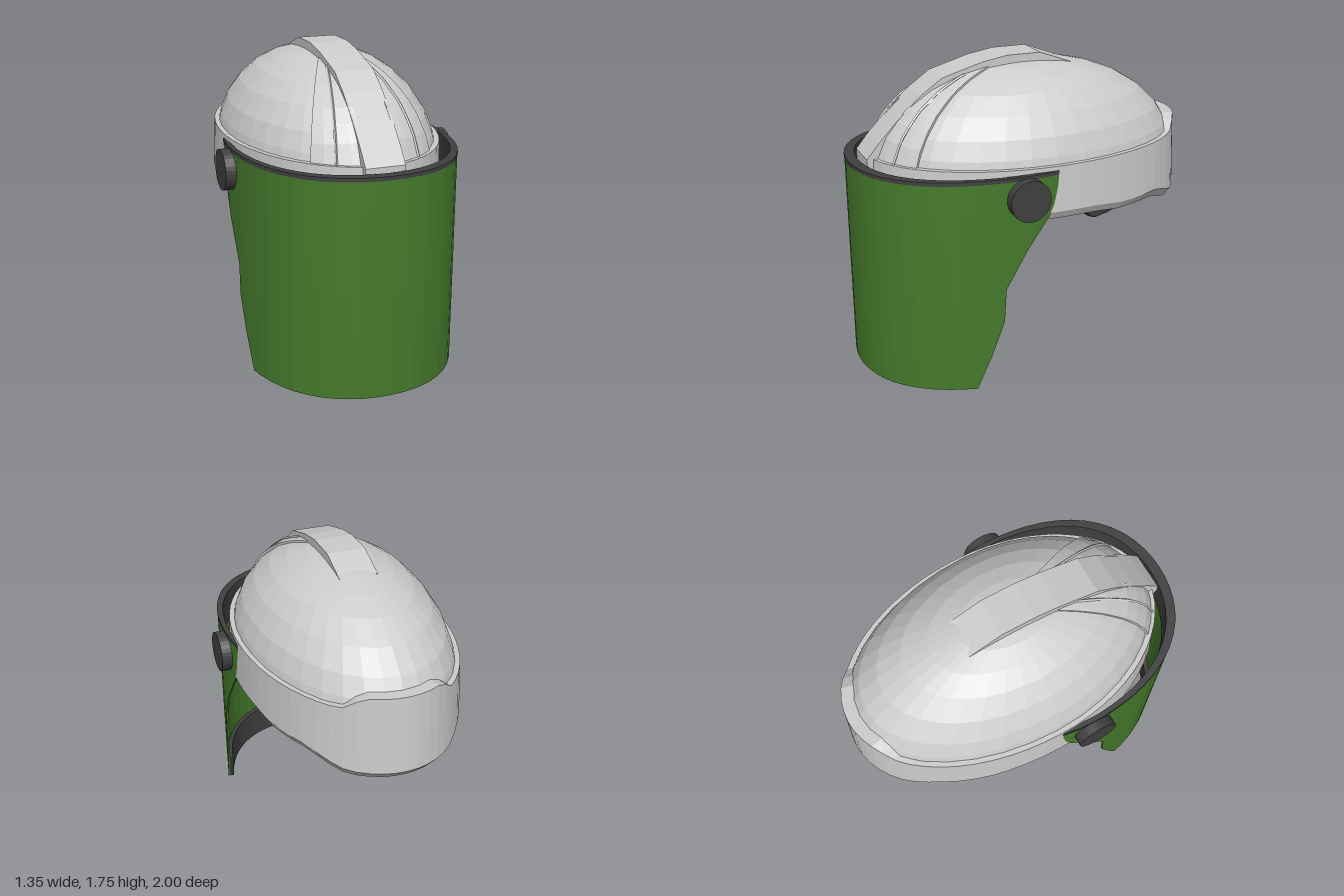
import * as THREE from 'three';

const material = (color) => new THREE.MeshStandardMaterial({ color, flatShading: true, side: THREE.DoubleSide });
const grey = material(0xcccccc), dark = material(0x404040), green = material(0x457a2c);

// Linear interpolation in a table of [key, value] rows with rising keys
function lookup(table, k) {
  for (let i = 1; i < table.length; i++) {
    const [k0, v0] = table[i - 1], [k1, v1] = table[i];
    if (k <= k1) return v0 + (v1 - v0) * Math.max(0, (k - k0) / (k1 - k0));
  }
  return table[table.length - 1][1];
}

// Skin a list of cross-section loops (outer points going down, then inner points going up)
function loft(sections, closed) {
  const n = sections[0].length, m = sections.length, index = [];
  const quad = (a, b, c, d) => index.push(a, b, c, a, c, d);
  for (let s = 0; s < (closed ? m : m - 1); s++) {
    const p = s * n, q = ((s + 1) % m) * n;
    for (let i = 0; i < n; i++) {
      const j = (i + 1) % n;
      quad(p + i, p + j, q + j, q + i);
    }
  }
  if (!closed) {
    const e = (m - 1) * n;
    for (let i = 0; i < n / 2 - 1; i++) {
      quad(n - 1 - i, n - 2 - i, i + 1, i);
      quad(e + i, e + i + 1, e + n - 2 - i, e + n - 1 - i);
    }
  }
  const g = new THREE.BufferGeometry();
  g.setAttribute('position', new THREE.Float32BufferAttribute(sections.flat(2), 3));
  g.setIndex(index);
  g.computeVertexNormals();
  return g;
}

const range = (n, f) => Array.from({ length: n }, (_, i) => f(i));
const turn = (n, f) => loft(range(n, (i) => f((i / n) * Math.PI * 2)), true);

// Dome surface: profile of [relative radius, height] on an oval plan
const domeProfile = [[0, 1.715], [0.14, 1.71], [0.3, 1.69], [0.47, 1.65], [0.63, 1.59],
  [0.78, 1.5], [0.9, 1.39], [0.965, 1.29], [1, 1.2]];
const domePoint = (a, r, grow = 0, lift = 0) => {
  const depth = Math.cos(a) > 0 ? 0.88 : 0.97;
  return [Math.sin(a) * r * (0.585 + grow), lookup(domeProfile, r) + lift, Math.cos(a) * r * (depth + grow)];
};
const toPolar = (x, z) => [Math.atan2(x / 0.585, z / 0.88), Math.min(1, Math.hypot(x / 0.585, z / 0.88))];

// Visor plan and its rear edge: upright columns, cut off where the edge passes
const edge = [[0, 0.48], [0.2, 0.4], [0.4, 0.33], [0.59, 0.32], [0.8, 0.2], [1.04, 0.02], [1.22, 0.01]];
function visorStrip(heights, rearEdge, outer, inner) {
  const ys = [...heights].reverse(), N = 32;
  const limit = (y) => Math.acos((rearEdge(y) - 0.2) / 0.8);
  const widest = Math.max(...heights.map(limit));
  return loft(range(N + 1, (i) => {
    const column = ((i / N) * 2 - 1) * widest;
    const point = (y, s) => {
      const a = THREE.MathUtils.clamp(column, -limit(y), limit(y));
      const k = s(a) * (Math.cos(a) > 0 ? 1 + 0.035 * Math.sin(2 * a) ** 2 : 1);
      return [0.622 * k * Math.sin(a), y, 0.2 + 0.8 * k * Math.cos(a)];
    };
    return [...ys.map((y) => point(y, outer)), ...heights.map((y) => point(y, inner))];
  }), false);
}

export function createModel() {
  const model = new THREE.Group();
  const add = (name, geometry, mat, parent = model) => {
    const mesh = new THREE.Mesh(geometry, mat);
    mesh.name = name;
    parent.add(mesh);
    return mesh;
  };

  // Helmet dome, with inner lining
  add('dome', turn(36, (a) => [
    ...domeProfile.map(([r]) => domePoint(a, r)),
    ...[...domeProfile].reverse().map(([r]) => domePoint(a, r, -0.03, -0.035)),
  ]), grey);

  // Lower shell wall, rising and dipping into the neck guard
  const wallTop = [[-1, 1.33], [-0.94, 1.33], [-0.86, 1.25], [1, 1.25]];
  const wallBottom = [[-1, 0.845], [-0.88, 0.845], [-0.7, 0.92], [-0.4, 0.925], [-0.25, 0.945], [0.1, 0.95], [1, 0.99]];
  add('shellWall', turn(60, (a) => {
    const depth = Math.cos(a) > 0 ? 0.915 : 1, z = depth * Math.cos(a);
    const top = lookup(wallTop, z), bottom = lookup(wallBottom, z);
    const at = (s, y) => [0.612 * s * Math.sin(a), y, z * s];
    return [at(0.982, top), at(1, bottom + 0.045), at(0.96, bottom),
      at(0.93, bottom), at(0.93, top - 0.08), at(0.9, top)];
  }), grey);

  // Centre ridge over the crown
  const ridge = [[-0.29, 1.68], [-0.1, 1.75], [0.1, 1.75], [0.25, 1.725], [0.48, 1.66], [0.61, 1.57],
    [0.735, 1.455], [0.85, 1.335], [0.92, 1.25], [0.92, 1.19]];
  const lower = ridge.map(([z, y]) => [z * 0.93, y - 0.05]).reverse();
  const ridgeShape = new THREE.Shape([...ridge, ...lower].map(([z, y]) => new THREE.Vector2(z, y)));
  add('centreRidge', new THREE.ExtrudeGeometry(ridgeShape, { depth: 0.22, bevelEnabled: false })
    .rotateY(-Math.PI / 2).translate(0.105, 0, 0), grey);

  // Raised front panels and ribs on both sides of the ridge
  for (const side of [1, -1]) {
    const name = side > 0 ? 'left' : 'right';
    const panel = loft(range(11, (i) => {
      const u = i / 10;
      const [a0, r0] = toPolar(0.09, 0.2 + 0.67 * u);
      const [a1, r1] = toPolar(0.1 + 0.24 * u, 0.2 + 0.53 * u);
      const row = (grow, lift) => range(5, (j) => {
        const p = domePoint(a0 + (a1 - a0) * j / 4, r0 + (r1 - r0) * j / 4, grow, lift);
        return [p[0] * side, p[1], p[2]];
      });
      return [...row(0.012, 0.01), ...row(-0.015, -0.02).reverse()];
    }), false);
    add(name + 'FrontPanel', panel, grey);

    const path = range(9, (i) => {
      const u = i / 8;
      const p = domePoint(...toPolar(0.11 + 0.115 * u, 0.35 + 0.45 * u), 0.013, 0.011);
      return new THREE.Vector3(p[0] * side, p[1], p[2]);
    });
    add(name + 'FrontRib', new THREE.TubeGeometry(new THREE.CatmullRomCurve3(path), 16, 0.008, 4), grey);
  }

  // Face shield with its upper and lower frame
  const rear = (y) => lookup(edge, y);
  add('visor', visorStrip(edge.map((e) => e[0]), rear, () => 1, () => 0.982), green);
  add('visorTopFrame', visorStrip([1.04, 1.226], () => 0.08,
    () => 0.98, (a) => 0.96 - 0.03 * Math.max(0, Math.cos(a))), dark);
  add('visorTopLip', visorStrip([1.205, 1.226], () => 0.01, () => 1.003, () => 0.97), dark);
  add('visorBottomFrame', visorStrip([0.005, 0.1, 0.19], rear, () => 0.982, () => 0.945), dark);

  // Pivot knobs
  for (const side of [1, -1]) {
    add(side > 0 ? 'leftPivot' : 'rightPivot',
      new THREE.CylinderGeometry(0.115, 0.115, 0.075, 32).rotateZ(Math.PI / 2), dark)
      .position.set(side * 0.6375, 1.1, 0.2);
  }

  // Head harness: band with a deep nape, hung from the shell
  const harness = new THREE.Group();
  harness.name = 'headHarness';
  model.add(harness);
  const bandBottom = [[-0.7, 0.92], [-0.66, 0.83], [-0.3, 0.83], [-0.18, 0.93], [1, 0.98]];
  const bandTop = [[-0.7, 1.05], [-0.3, 1.03], [-0.1, 1.1], [1, 1.18]];
  add('headBand', turn(40, (a) => {
    const z = 0.7 * Math.cos(a), top = lookup(bandTop, z), bottom = lookup(bandBottom, z);
    const at = (s, y) => [0.45 * s * Math.sin(a), y, z * s];
    return [at(1, top), at(1, bottom), at(0.92, bottom), at(0.92, top)];
  }), dark, harness);
  for (const a of [0.7, 2.45, -0.7, -2.45]) {
    const hanger = new THREE.Group();
    hanger.name = 'hanger';
    hanger.position.set(0.45 * Math.sin(a), 1.1, 0.7 * Math.cos(a));
    hanger.rotation.y = a;
    harness.add(hanger);
    add('strap', new THREE.BoxGeometry(0.09, 0.2, 0.03), dark, hanger);
    add('clip', new THREE.BoxGeometry(0.09, 0.04, 0.13), dark, hanger).position.set(0, 0.09, 0.05);
  }
  return model;
}
